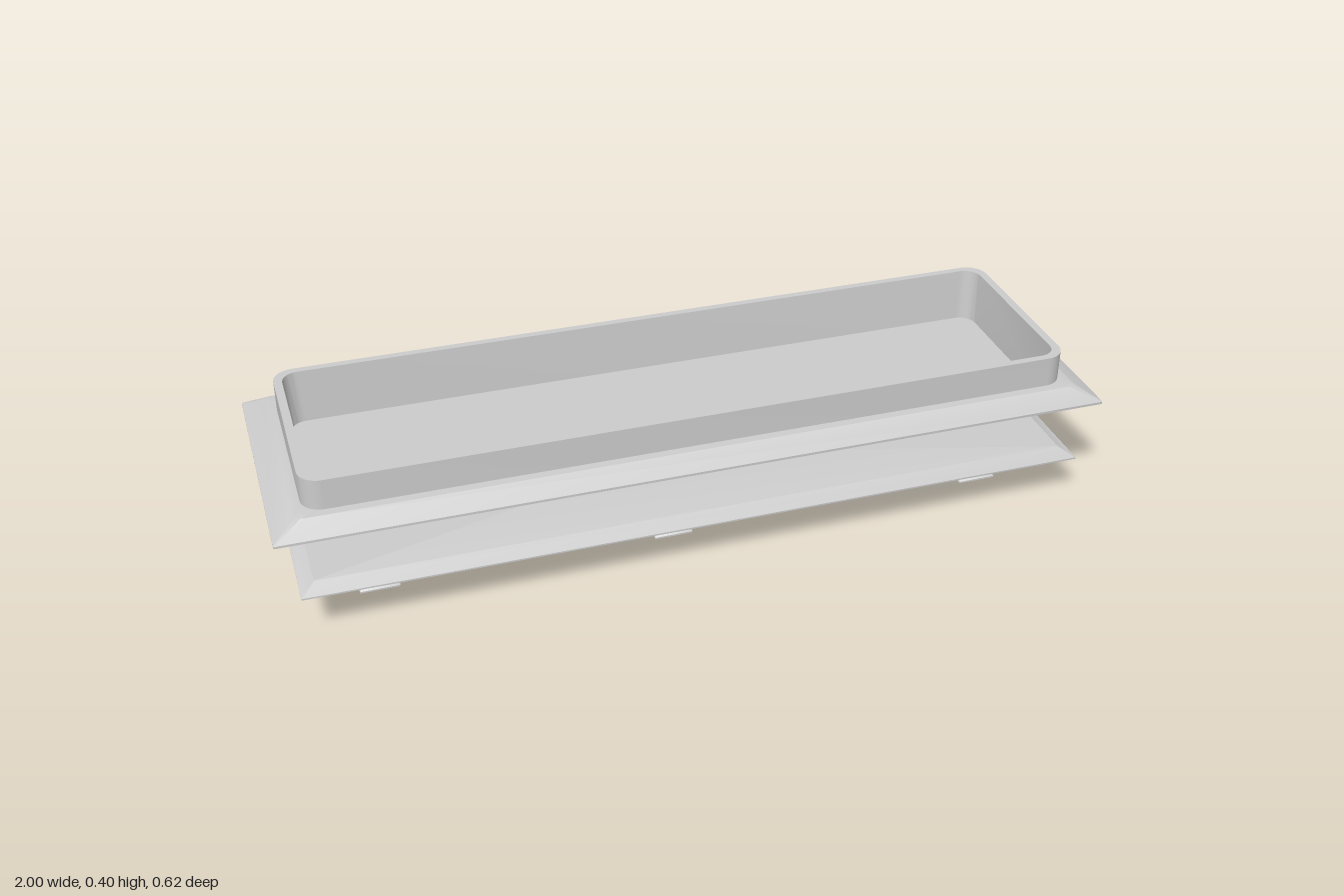
import * as THREE from 'three';
import { toCreasedNormals } from 'three/addons/utils/BufferGeometryUtils.js';

const grey = new THREE.MeshStandardMaterial({ color: 0xcccccc });
const greyThin = new THREE.MeshStandardMaterial({ color: 0xcccccc, side: THREE.DoubleSide });

// Ring of points around a rounded rectangle, counter-clockwise seen from above
function ring([hx, hz, y, r]) {
  const pts = [], steps = 8;
  for (let c = 0; c < 4; c++) {
    const sx = c === 0 || c === 3 ? 1 : -1;
    const sz = c < 2 ? 1 : -1;
    for (let i = 0; i <= steps; i++) {
      const a = (c + i / steps) * Math.PI / 2;
      pts.push(new THREE.Vector3(
        sx * (hx - r) + r * Math.cos(a), y, sz * (hz - r) + r * Math.sin(a)));
    }
  }
  return pts;
}

// Skin through sections [halfX, halfZ, y, cornerRadius]; zero size closes an end
function loft(sections) {
  const rings = sections.map(ring);
  const pos = [];
  const tri = (a, b, c) => {
    if (new THREE.Triangle(a, b, c).getArea() < 1e-9) return;
    for (const p of [a, b, c]) pos.push(p.x, p.y, p.z);
  };
  for (let s = 0; s + 1 < rings.length; s++) {
    const lo = rings[s], hi = rings[s + 1];
    for (let i = 0; i < lo.length; i++) {
      const j = (i + 1) % lo.length;
      tri(lo[i], hi[i], hi[j]);
      tri(lo[i], hi[j], lo[j]);
    }
  }
  const geo = new THREE.BufferGeometry();
  geo.setAttribute('position', new THREE.Float32BufferAttribute(pos, 3));
  return toCreasedNormals(geo, Math.PI / 7);
}

// Flat slab with a short vertical rim and sloping edges
function bevelSlab(hx, hz, y0, rimY, y1, inset) {
  return loft([
    [0, 0, y0, 0], [hx, hz, y0, 0.002], [hx, hz, rimY, 0.002],
    [hx - inset, hz - inset, y1, 0.002], [0, 0, y1, 0],
  ]);
}

export function createModel() {
  const model = new THREE.Group();
  const add = (name, geo, x = 0, y = 0, z = 0, mat = grey) => {
    const mesh = new THREE.Mesh(geo, mat);
    mesh.name = name;
    mesh.position.set(x, y, z);
    model.add(mesh);
  };

  // Open tray: stepped underside, upright walls, thin lip, recessed floor
  add('tray', loft([
    [0, 0, 0.255, 0],
    [0.898, 0.222, 0.255, 0.04],
    [0.9, 0.225, 0.258, 0.04],
    [0.9, 0.225, 0.285, 0.04],
    [0.925, 0.25, 0.285, 0.05],
    [0.925, 0.25, 0.396, 0.05],
    [0.905, 0.232, 0.396, 0.04],
    [0.898, 0.224, 0.262, 0.04],
    [0, 0, 0.262, 0],
  ]));

  // Sloping skirt around the tray, hollow underneath
  add('flange', loft([
    [1, 0.312, 0.281, 0.004],
    [1, 0.312, 0.287, 0.004],
    [0.945, 0.27, 0.319, 0.02],
    [0.925, 0.25, 0.32, 0.05],
  ]), 0, 0, 0, greyThin);

  // Lower shelf
  add('shelf', bevelSlab(0.955, 0.296, 0.122, 0.126, 0.145, 0.034), 0, 0, 0.003);

  // Three pairs of posts, each pair on a foot plate
  const foot = bevelSlab(0.048, 0.156, 0.005, 0.009, 0.02, 0.012);
  const post = new THREE.CylinderGeometry(0.019, 0.019, 0.252, 24);
  for (const x of [-0.765, -0.045, 0.765]) {
    add('footPlate', foot, x, 0, 0.001);
    for (const z of [0.073, -0.081]) add('post', post, x, 0.126, z);
  }
  return model;
}
